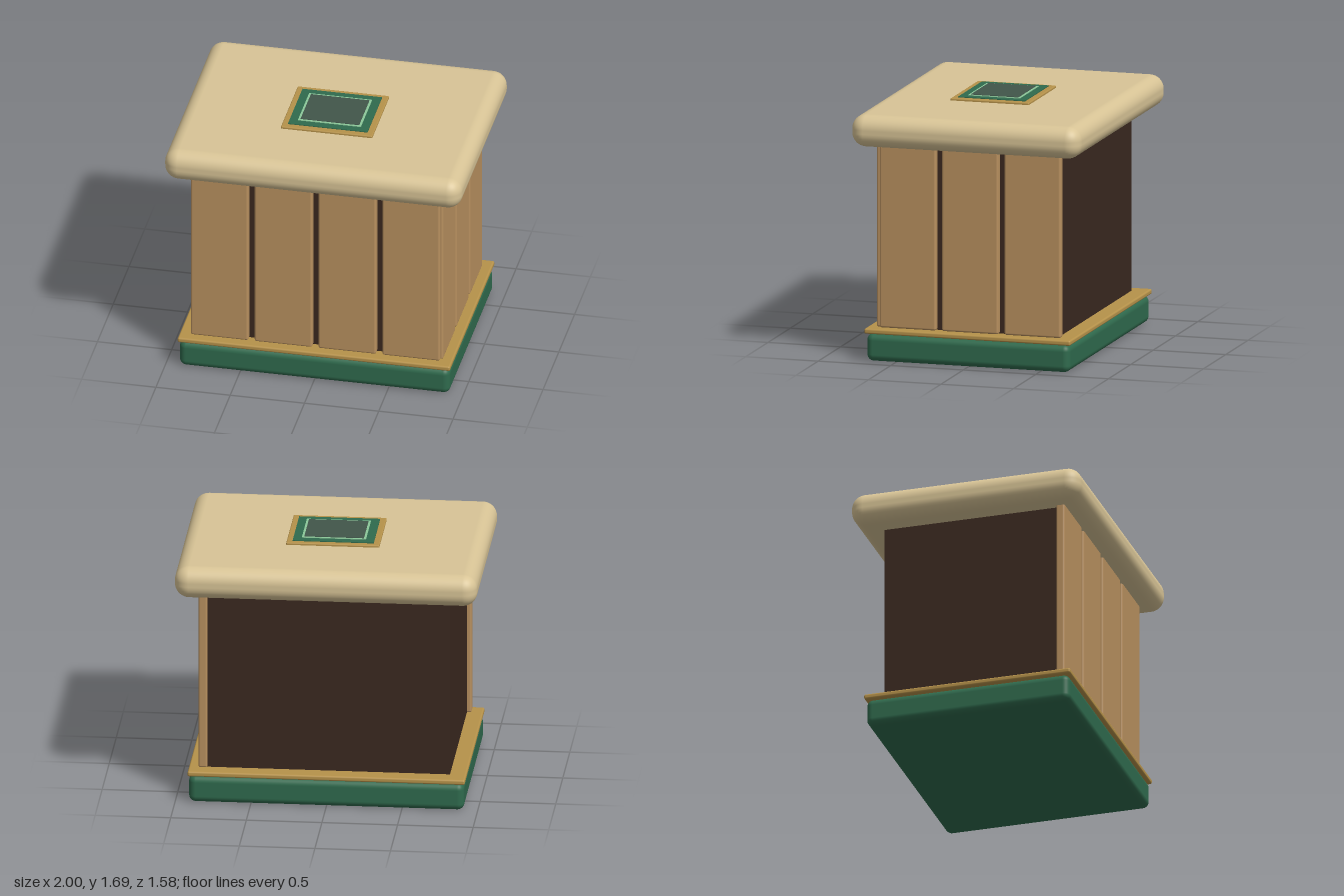
import * as THREE from 'three';
import { RoundedBoxGeometry } from 'three/addons/geometries/RoundedBoxGeometry.js';

const paint = (color) => new THREE.MeshStandardMaterial({ color });
const cream = paint(0xd8c496);
const wood = paint(0xb8905f);
const dark = paint(0x3a281f);
const green = paint(0x2f6a4d);
const gold = paint(0xb6924a);
const mint = paint(0x8cc89a);
const glass = paint(0x41564a);

export function createModel() {
  const group = new THREE.Group();

  // Box given by its ranges along x, y and z, with an optional edge radius
  function block(name, material, [x0, x1], [y0, y1], [z0, z1], radius = 0) {
    const size = [x1 - x0, y1 - y0, z1 - z0];
    const geometry = radius
      ? new RoundedBoxGeometry(...size, 5, radius)
      : new THREE.BoxGeometry(...size);
    const mesh = new THREE.Mesh(geometry, material);
    mesh.name = name;
    mesh.position.set((x0 + x1) / 2, (y0 + y1) / 2, (z0 + z1) / 2);
    group.add(mesh);
  }

  // Plinth and its thin trim
  block('base', green, [-0.91, 0.91], [0, 0.185], [-0.7, 0.7], 0.045);
  block('baseTrim', gold, [-0.917, 0.917], [0.185, 0.22], [-0.71, 0.71], 0.012);

  // Dark core, bare at the back and on one side
  block('core', dark, [-0.81, 0.81], [0.2, 1.5], [-0.6, 0.6]);

  // Planks on the front and the +x side
  const pitch = 0.43, half = 0.194, height = [0.22, 1.46];
  for (let i = 0; i < 4; i++) {
    const x = -0.648 + i * pitch;
    block('frontPlank', wood, [x - half, x + half], height, [0.59, 0.65], 0.014);
  }
  for (let i = 0; i < 3; i++) {
    const z = -0.43 + i * pitch;
    block('sidePlank', wood, [0.793, 0.853], height, [z - half, z + half], 0.014);
  }

  // Thick rounded top
  block('topSlab', cream, [-1, 1], [1.445, 1.66], [-0.79, 0.79], 0.095);

  // Stepped panel set into the top
  block('panelFrame', gold, [-0.308, 0.308], [1.64, 1.675], [-0.238, 0.303], 0.008);
  block('panel', green, [-0.268, 0.268], [1.65, 1.68], [-0.2, 0.262]);
  block('screenBorder', mint, [-0.212, 0.212], [1.65, 1.684], [-0.147, 0.21]);
  block('screen', glass, [-0.197, 0.197], [1.65, 1.687], [-0.132, 0.195]);

  return group;
}
